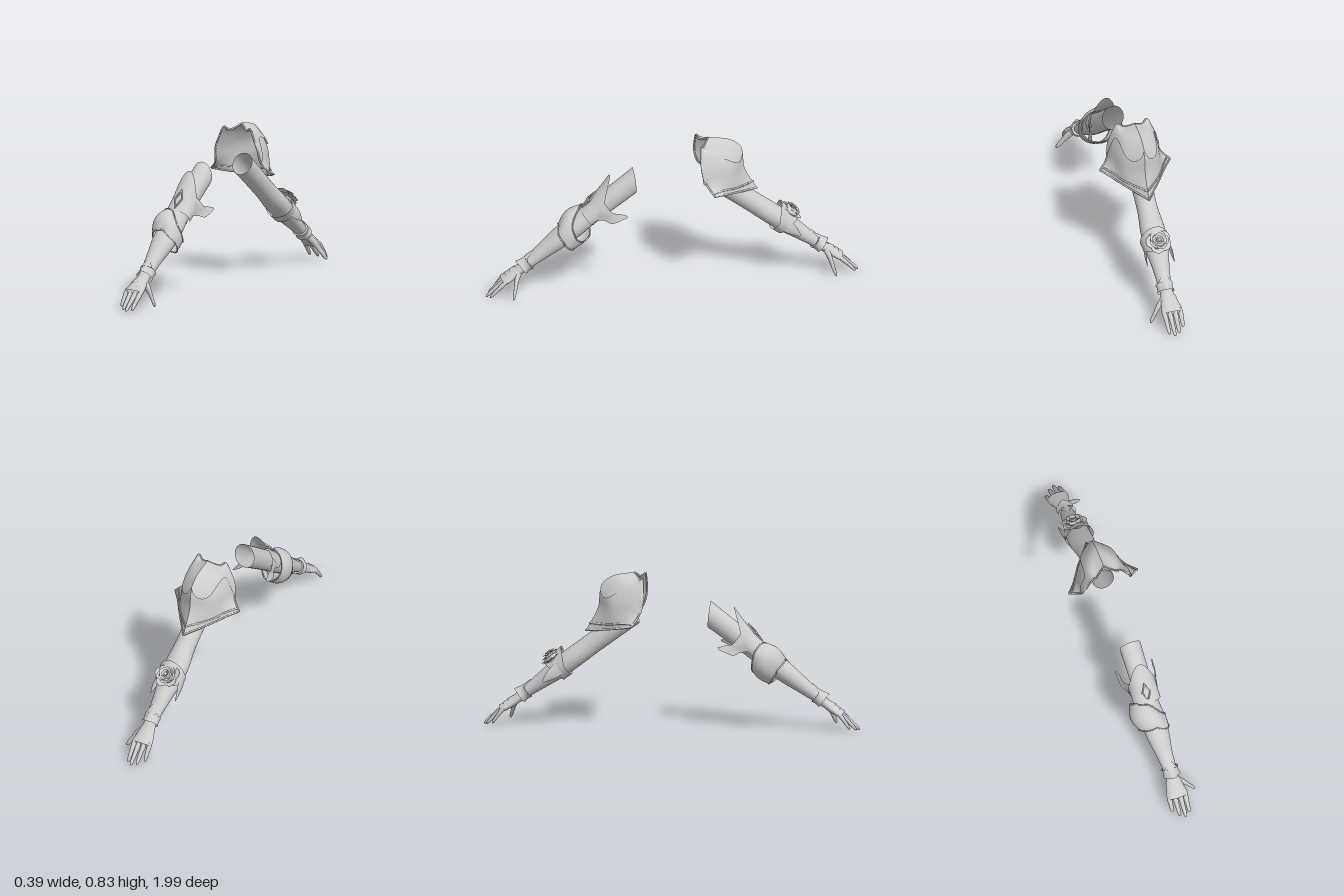
import * as THREE from 'three';
import { mergeVertices } from 'three/addons/utils/BufferGeometryUtils.js';

const { PI, sin, cos, max, min, floor } = Math;
const TILT = 0.653; // slope of each arm below the horizontal

// Smooth interpolation through rows of equal-length number lists
function spline(rows, t) {
  const n = rows.length - 1, i = min(floor(t * n), n - 1), f = t * n - i;
  const at = k => rows[max(0, min(n, k))];
  const [a, b, c, d] = [at(i - 1), at(i), at(i + 1), at(i + 2)];
  return b.map((_, k) => 0.5 * (2 * b[k] + (c[k] - a[k]) * f
    + (2 * a[k] - 5 * b[k] + 4 * c[k] - d[k]) * f * f
    + (3 * b[k] - a[k] - 3 * c[k] + d[k]) * f * f * f));
}

// Grid surface from fn(u, v) -> [x, y, z]
function surface(fn, nu, nv) {
  const pos = [], idx = [], w = nu + 1;
  for (let j = 0; j <= nv; j++) for (let i = 0; i <= nu; i++) pos.push(...fn(i / nu, j / nv));
  for (let j = 0; j < nv; j++) for (let i = 0; i < nu; i++) {
    const a = j * w + i;
    idx.push(a, a + 1, a + w, a + 1, a + w + 1, a + w);
  }
  const g = new THREE.BufferGeometry();
  g.setAttribute('position', new THREE.Float32BufferAttribute(pos, 3));
  g.setIndex(idx);
  return mergeVertices(g, 1e-5);
}

const patch = (rows, nu = 10, nv = 8) => surface((u, v) => spline(rows.map(r => spline(r, u)), v), nu, nv);

// Limb along local z; rows are [centre x, centre y, z, radius x, radius y]
const limb = (rows, sides, steps, cut = 0) => surface((u, v) => {
  const [cx, cy, z, rx, ry] = spline(rows, v), a = u * 2 * PI;
  const y = cy + ry * sin(a);
  return [cx + rx * cos(a), y, z - cut * y * max(0, 1 - 5 * v)];
}, sides, steps);

// Armour wrapped round the limb from angle a0 to a1; fn gives [radius x, radius y, z, centre x]
const wrap = (a0, a1, fn, nu = 32, nv = 8) => surface((u, v) => {
  const a = a0 + (a1 - a0) * u, [rx, ry, z, cx = 0] = fn(a, v);
  return [cx + rx * cos(a), ry * sin(a), z];
}, nu, nv);

export function createModel() {
  const model = new THREE.Group();
  const grey = new THREE.MeshStandardMaterial({ color: 0xcccccc, side: THREE.DoubleSide });
  grey.name = 'lightGrey';

  function add(parent, name, geo) {
    geo.computeVertexNormals();
    const mesh = new THREE.Mesh(geo, grey);
    mesh.name = name;
    parent.add(mesh);
  }

  // Returns an adder that tilts parts into place, towards +z or -z
  function armAdder(name, dir) {
    const group = new THREE.Group();
    group.name = name;
    model.add(group);
    return (part, geo) => {
      geo.rotateX(TILT).translate(0, 0.62, 0.19).scale(1, 1, dir);
      if (dir < 0 && geo.index) geo.index.array.reverse();
      add(group, part, geo);
    };
  }

  // Sleeve, cuff, hand: shared by both arms
  function bareArm(put, cut) {
    put('sleeve', limb([
      [0, 0, 0.01, 0.058, 0.06], [0, 0, 0.15, 0.056, 0.057], [0, 0, 0.3, 0.055, 0.055],
      [0, 0, 0.42, 0.066, 0.056], [0.002, 0, 0.52, 0.062, 0.053], [0.004, 0, 0.62, 0.047, 0.042],
      [0.008, 0, 0.72, 0.036, 0.031], [0.008, 0, 0.78, 0.033, 0.026]], 28, 32, cut));
    put('wristCuff', wrap(0, 2 * PI, (a, v) => {
      const tip = max(0, sin(a)) ** 8, k = 1 - 0.12 * sin(v * PI);
      return [0.047 * k, (0.04 + 0.012 * tip * v) * k,
        0.72 - 0.06 * tip + v * (0.045 + 0.065 * tip), 0.01];
    }, 36, 6));
    put('cuffLining', wrap(0, 2 * PI, (a, v) => [0.047 - v * 0.014, 0.04 - v * 0.014, 0.72, 0.01], 36, 1));
    put('hand', limb([
      [0.008, 0, 0.76, 0.033, 0.024], [0.006, 0, 0.81, 0.041, 0.024], [0.004, 0.002, 0.855, 0.054, 0.02],
      [0.004, 0.002, 0.885, 0.053, 0.014], [0.004, 0, 0.897, 0.03, 0.004]], 20, 14));
    // Overlapping plates on the back of the hand
    for (let i = 0; i < 3; i++) put('handPlate', wrap(0.05 * PI, 0.95 * PI, (a, v) =>
      [0.041 + 0.006 * i + 0.005 * v, 0.026 - 0.001 * i + 0.004 * v,
        0.79 + 0.03 * i + 0.032 * v + 0.006 * sin(a), 0.005], 16, 3));
    // Fingers: knuckle x, tip x, tip height, tip z
    [[-0.04, -0.042, -0.022, 0.965], [-0.011, -0.011, -0.01, 0.998],
      [0.019, 0.016, -0.004, 1.013], [0.047, 0.042, -0.012, 0.996]].forEach(([kx, tx, ty, tz]) => {
      const mid = f => [kx + (tx - kx) * f, 0.006 * (1 - f) + ty * f + 0.008 * f * (1 - f), 0.87 + (tz - 0.87) * f];
      put('finger', limb([[...mid(0), 0.012, 0.011], [...mid(0.25), 0.0135, 0.012], [...mid(0.5), 0.0115, 0.01],
        [...mid(0.75), 0.0105, 0.009], [...mid(0.95), 0.007, 0.006], [...mid(1), 0.0005, 0.0005]], 10, 15));
    });
    put('thumb', limb([
      [0.025, -0.004, 0.785, 0.016, 0.014], [0.05, -0.016, 0.82, 0.021, 0.016], [0.078, -0.038, 0.852, 0.013, 0.013],
      [0.098, -0.056, 0.877, 0.012, 0.011], [0.11, -0.068, 0.896, 0.007, 0.007], [0.112, -0.07, 0.9, 0.001, 0.001]], 12, 18));
  }

  // Front arm with upper plate, wings and wide elbow guard
  const front = armAdder('frontArm', 1);
  bareArm(front, 0.6);
  front('upperArmPlate', wrap(-0.12 * PI, 1.12 * PI, (a, v) => {
    const up = max(0, sin(a)), z0 = 0.22 - 0.13 * up * up;
    return [0.074, 0.059 + 0.052 * up * (1 - v) ** 1.5, z0 + v * (0.33 - z0)];
  }, 32, 10));
  const diamond = k => [[0, -0.06], [0.025, 0], [0, 0.06], [-0.025, 0]].map(p => new THREE.Vector2(p[0] * k, p[1] * k));
  const frame = new THREE.Shape(diamond(1));
  frame.holes.push(new THREE.Path(diamond(0.72)));
  front('diamondFrame', new THREE.ExtrudeGeometry(frame, { depth: 0.008, bevelEnabled: false })
    .rotateX(PI / 2 + 0.22).translate(0, 0.077, 0.262));
  for (const s of [1, -1]) front('sideWing', patch([
    [[0.072 * s, 0.03, 0.2], [0.088 * s, -0.03, 0.2], [0.09 * s, -0.06, 0.175], [0.1 * s, -0.095, 0.148]],
    [[0.078 * s, 0.01, 0.25], [0.086 * s, -0.035, 0.225], [0.094 * s, -0.065, 0.2], [0.1 * s, -0.095, 0.15]],
    [[0.068 * s, -0.01, 0.3], [0.08 * s, -0.045, 0.26], [0.098 * s, -0.08, 0.235], [0.105 * s, -0.1, 0.155]]]));
  const guard = (a, v) => {
    const b = (1 + cos(a - 0.85 * PI)) / 2, hw = 0.034 + 0.045 * b;
    const r = 0.07 + 0.043 * b * sin(PI * (0.15 + 0.75 * v)) + 0.025 * max(0, -sin(a)) - 0.022 * max(0, sin(a));
    return [r, r, 0.405 + 0.06 * cos(a) * (cos(a) > 0 ? 1 : 0.2) + 0.03 * max(0, -sin(a)) + (2 * v - 1) * hw];
  };
  front('elbowGuard', wrap(0, 2 * PI, guard, 48, 12));
  // Rolled rims on the guard
  for (const v of [0, 1]) {
    const pts = [];
    for (let i = 0; i < 32; i++) {
      const a = i / 16 * PI, [r, , z] = guard(a, v);
      pts.push(new THREE.Vector3(r * cos(a), r * sin(a), z));
    }
    front('guardRim', new THREE.TubeGeometry(new THREE.CatmullRomCurve3(pts, true), 64, 0.004, 6, true));
  }

  // Rear arm with elbow band, leaves and rosette
  const rear = armAdder('rearArm', -1);
  bareArm(rear, 0.15);
  rear('elbowBand', wrap(0, 2 * PI, (a, v) => {
    const up = max(0, sin(a)), z0 = 0.47 - 0.04 * up;
    return [0.068 + 0.01 * (1 - v), 0.066 + 0.022 * up * (1 - v), z0 + v * (0.055 + 0.07 * up), 0.004];
  }, 40, 6));
  for (const s of [1, -1]) rear('elbowLeaf', patch([
    [[0.06 * s, 0.04, 0.5], [0.072 * s, 0.03, 0.56], [0.074 * s, 0.005, 0.61]],
    [[0.07 * s, 0.01, 0.5], [0.076 * s, 0, 0.55], [0.075 * s, 0, 0.61]],
    [[0.066 * s, -0.03, 0.5], [0.07 * s, -0.025, 0.55], [0.074 * s, -0.005, 0.61]]]));
  [[5, 0.068, 0.062], [5, 0.052, 0.078], [4, 0.037, 0.09], [3, 0.02, 0.096]].forEach(([n, r, h], k) => {
    for (let i = 0; i < n; i++) rear('petal', surface((u, v) => {
      const a = (i + (u - 0.5) * 1.25 + k * 0.45) / n * 2 * PI, edge = sin(PI * u);
      const rad = r * (0.3 + (0.5 + 0.25 * edge) * v) - 0.003 * u;
      return [rad * cos(a), h - 0.012 + 0.03 * v * (1 - 0.4 * v) + 0.004 * u, 0.505 + rad * sin(a)];
    }, 10, 5));
  });
  rear('rosetteCore', new THREE.SphereGeometry(0.045, 20, 12).scale(1, 0.6, 1).translate(0, 0.068, 0.505));

  // Ridged shoulder shell: profiles from the crest out to the side, each from top edge to lower edge
  const shoulder = new THREE.Group();
  shoulder.name = 'shoulderArmour';
  model.add(shoulder);
  const profiles = [
    [[0, 0.83, -0.195], [0, 0.805, -0.31], [0, 0.735, -0.375], [0, 0.635, -0.39], [0, 0.515, -0.455]],
    [[0.05, 0.798, -0.16], [0.07, 0.785, -0.24], [0.085, 0.71, -0.305], [0.092, 0.625, -0.32], [0.09, 0.54, -0.335]],
    [[0.082, 0.812, -0.145], [0.105, 0.755, -0.175], [0.122, 0.69, -0.215], [0.13, 0.63, -0.235], [0.15, 0.56, -0.25]],
    [[0.115, 0.74, -0.14], [0.13, 0.70, -0.142], [0.136, 0.65, -0.152], [0.152, 0.61, -0.172], [0.193, 0.575, -0.2]]];
  for (const s of [1, -1]) {
    const shell = (u, v, k = 1) => {
      const [x, y, z] = spline(profiles.map(r => spline(r, v)), u);
      return [s * x * k, 0.62 + (y - 0.62) * (1 + (k - 1) * 0.4), -0.15 + (z + 0.15) * k];
    };
    add(shoulder, 'shoulderShell', surface((u, v) => shell(u, v), 20, 24));
    // Raised upper layer with a scalloped lower edge
    add(shoulder, 'upperLayer', surface((u, v) =>
      shell(u, v * (0.42 + 0.14 * sin(u * 2.6 * PI)), 1.035 + 0.02 * v), 20, 12));
    const trim = fn => {
      const pts = Array.from({ length: 17 }, (_, i) => new THREE.Vector3(...fn(i / 16)));
      add(shoulder, 'edgeTrim', new THREE.TubeGeometry(new THREE.CatmullRomCurve3(pts), 32, 0.005, 6));
    };
    trim(t => shell(t, 0));
    trim(t => shell(t, 1));
    trim(t => shell(1, t));
    trim(t => shell(t, 0.9, 1.01));
  }
  return model;
}
